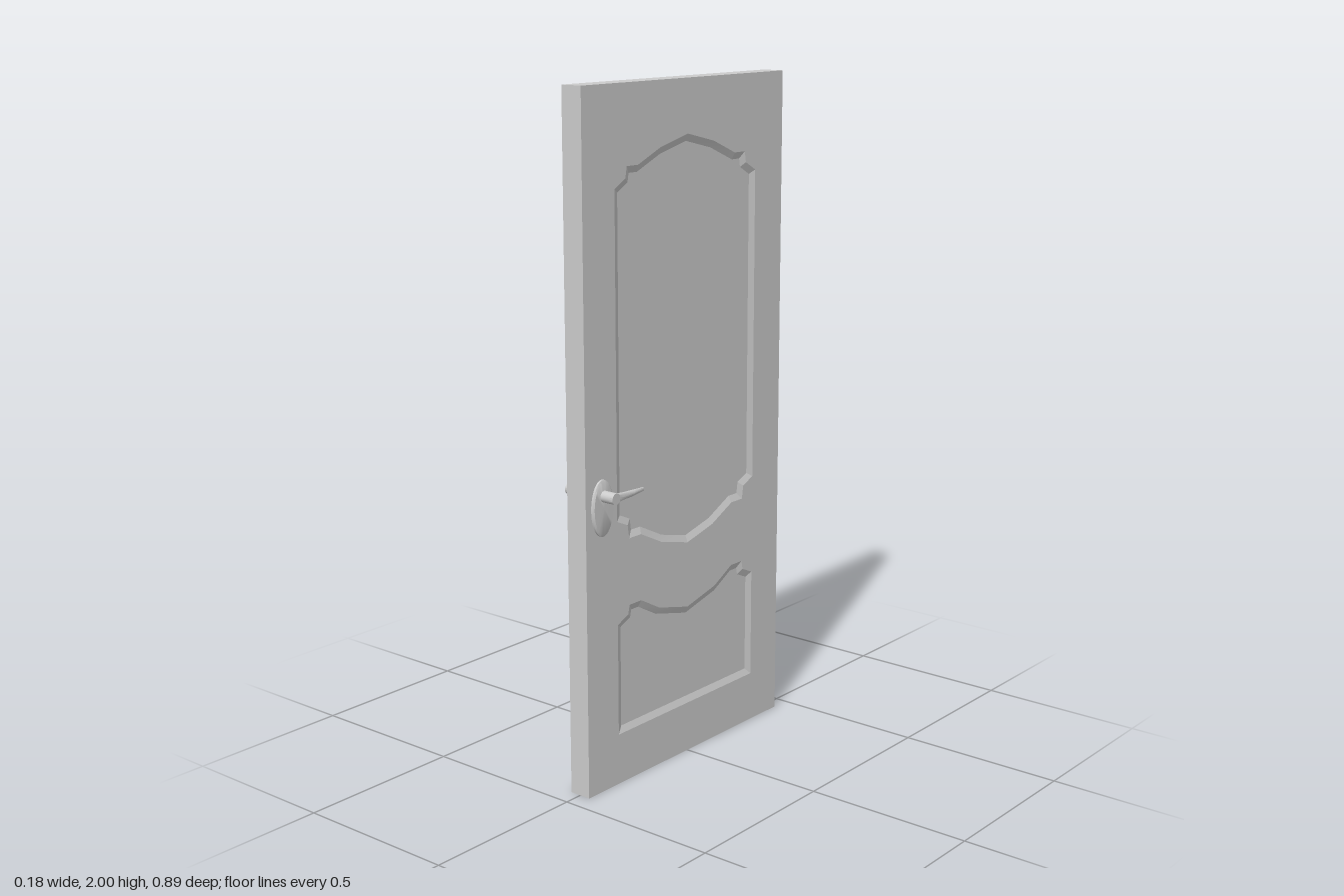
import * as THREE from 'three';
import { toCreasedNormals } from 'three/addons/utils/BufferGeometryUtils.js';

const HALF_T = 0.034, HALF_W = 0.443, HEIGHT = 2;
const RECESS = 0.008, BEVEL = 0.02;
const material = new THREE.MeshStandardMaterial({ color: 0xcccccc });

function mesh(name, geometry, parent) {
  const m = new THREE.Mesh(geometry, material);
  m.name = name;
  parent.add(m);
  return m;
}

// Skin joining closed loops of Vector3
function loft(loops, crease = 0.1) {
  const n = loops[0].length, index = [];
  for (let k = 0; k < loops.length - 1; k++) {
    for (let i = 0; i < n; i++) {
      const j = (i + 1) % n, a = k * n, b = a + n;
      index.push(a + i, a + j, b + j, a + i, b + j, b + i);
    }
  }
  const g = new THREE.BufferGeometry().setFromPoints(loops.flat());
  g.setIndex(index);
  return toCreasedNormals(g, crease);
}

// Full counter-clockwise outline from its right half, listed bottom to top
function mirrorOutline(half) {
  const right = half.map(([x, y]) => new THREE.Vector2(x, y));
  const left = right.filter(p => p.x > 0).reverse().map(p => new THREE.Vector2(-p.x, p.y));
  return [...right, ...left];
}

// Mitred inward offset
function inset(pts, d) {
  const n = pts.length;
  const normal = (a, b) => {
    const t = b.clone().sub(a).normalize();
    return new THREE.Vector2(-t.y, t.x);
  };
  return pts.map((p, i) => {
    const n1 = normal(pts[(i + n - 1) % n], p), n2 = normal(p, pts[(i + 1) % n]);
    return n1.clone().add(n2).multiplyScalar(d / (1 + n1.dot(n2))).add(p);
  });
}

const atDepth = (pts, z) => pts.map(p => new THREE.Vector3(p.x, p.y, z));

const upperPanel = mirrorOutline([
  [0, 0.655], [0.117, 0.684], [0.21, 0.73], [0.262, 0.73], [0.268, 0.77], [0.313, 0.79],
  [0.313, 1.72], [0.268, 1.745], [0.262, 1.777], [0.215, 1.777], [0.117, 1.818], [0, 1.846],
]);
const lowerPanel = mirrorOutline([
  [0.313, 0.152], [0.313, 0.485], [0.268, 0.505], [0.262, 0.532],
  [0.21, 0.532], [0.13, 0.488], [0, 0.456],
]);
const slab = mirrorOutline([[HALF_W, 0], [HALF_W, HEIGHT]]);

// One face of the door with two recessed panels, facing local +z
function doorFace(name) {
  const face = new THREE.Group();
  face.name = name;
  const shape = new THREE.Shape(slab);
  for (const [label, outline] of [['upper', upperPanel], ['lower', lowerPanel]]) {
    shape.holes.push(new THREE.Path(outline));
    const inner = inset(outline, BEVEL);
    mesh(label + 'PanelBevel', loft([atDepth(outline, HALF_T), atDepth(inner, HALF_T - RECESS)]), face);
    mesh(label + 'Panel', new THREE.ShapeGeometry(new THREE.Shape(inner)), face)
      .position.z = HALF_T - RECESS;
  }
  mesh('faceFrame', new THREE.ShapeGeometry(shape), face).position.z = HALF_T;
  return face;
}

// Lever handle on the +x side (s = 1) or turned over to the -x side (s = -1)
function leverHandle(name, s) {
  const handle = new THREE.Group();
  handle.name = name;
  handle.position.y = 0.88;
  if (s < 0) handle.rotation.z = Math.PI;

  // Oval back plate with a softened rim
  const profile = [[0.043, 0], [0.043, 0.006], [0.039, 0.0095], [0, 0.0105]]
    .map(p => new THREE.Vector2(...p));
  const plateGeo = new THREE.LatheGeometry(profile, 40);
  plateGeo.rotateZ(-Math.PI / 2).scale(1, 1.9, 1);
  mesh('backPlate', toCreasedNormals(plateGeo, 0.6), handle).position.set(HALF_T, -0.035 * s, 0.378);

  // Round spindle
  const spindle = mesh('spindle', new THREE.CylinderGeometry(0.0165, 0.0165, 0.054, 24), handle);
  spindle.rotation.z = -Math.PI / 2;
  spindle.position.set(HALF_T + 0.027, 0, 0.377);

  // Tapered lever: [z, inner x, outer x, half height]
  const sections = [
    [0.25, 0.0765, 0.0765, 0], [0.25, 0.073, 0.08, 0.006], [0.275, 0.073, 0.084, 0.007],
    [0.3, 0.073, 0.088, 0.009], [0.345, 0.073, 0.088, 0.011], [0.377, 0.073, 0.088, 0.0155],
    [0.388, 0.073, 0.088, 0.012], [0.393, 0.073, 0.088, 0.005], [0.393, 0.0805, 0.0805, 0],
  ];
  const loops = sections.map(([z, x0, x1, h]) => Array.from({ length: 20 }, (_, i) => {
    const a = i / 20 * Math.PI * 2;
    return new THREE.Vector3((x0 + x1) / 2 + Math.cos(a) * (x1 - x0) / 2, Math.sin(a) * h, z);
  }));
  mesh('lever', loft(loops, 0.7), handle);
  return handle;
}

export function createModel() {
  const model = new THREE.Group();
  model.name = 'door';

  // Narrow edges around the slab
  const edge = mesh('doorEdge', loft([atDepth(slab, -HALF_T), atDepth(slab, HALF_T)]), model);
  edge.rotation.y = Math.PI / 2;

  for (const [side, s] of [['left', 1], ['right', -1]]) {
    const face = doorFace(side + 'Face');
    face.rotation.y = s * Math.PI / 2;
    model.add(face, leverHandle(side + 'Handle', s));
  }
  return model;
}
